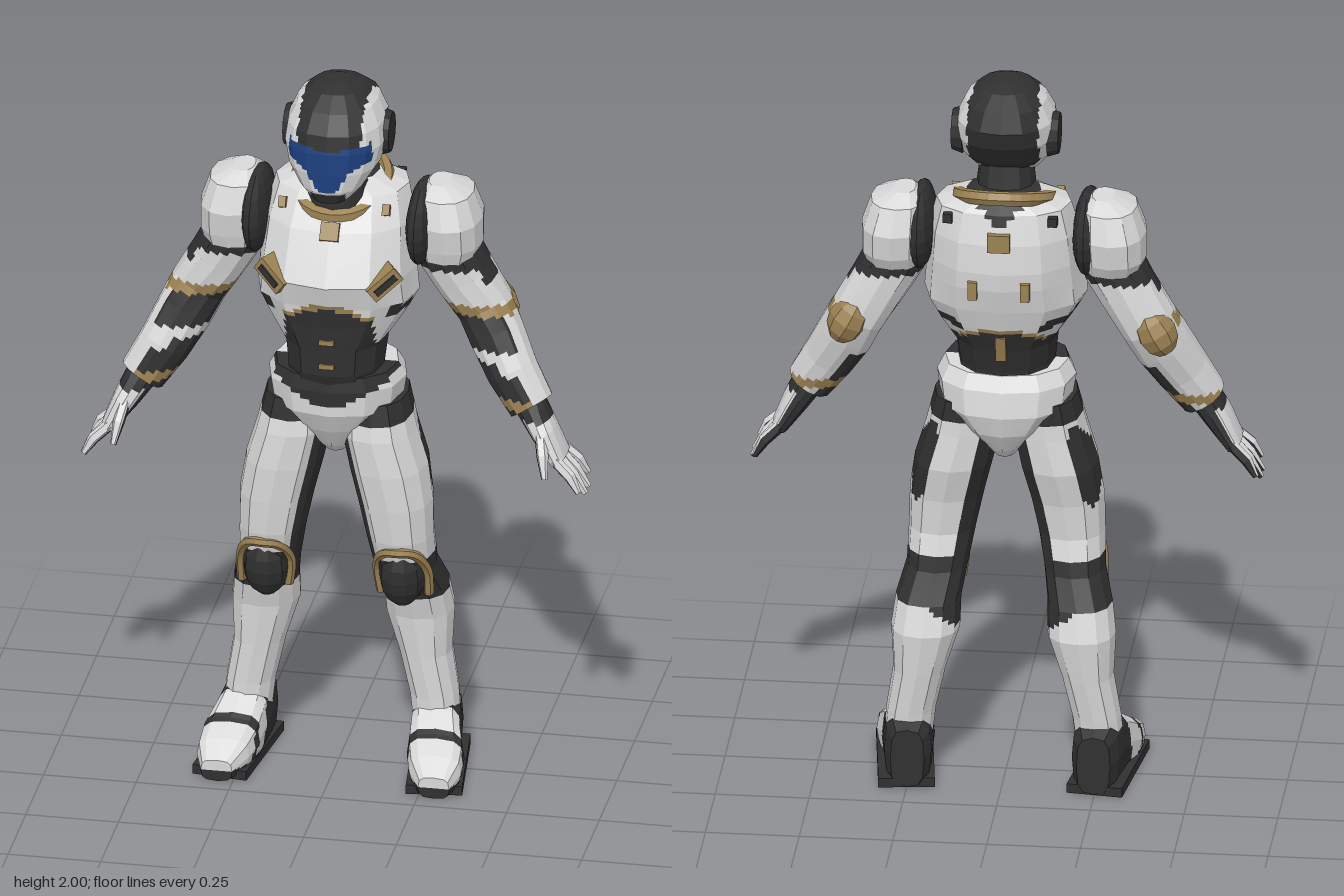
import * as THREE from 'three';

const material = (name, color) => Object.assign(new THREE.MeshStandardMaterial({ color }), { name });
const MATS = [
  material('white armour', 0xd9d9d9),
  material('dark undersuit', 0x303030),
  material('bronze trim', 0x9c8253),
  material('blue visor', 0x1d407e),
];
const [W, D, G, B] = [0, 1, 2, 3];
const V = (x, y, z) => new THREE.Vector3(x, y, z);
const DOWN = V(0, -1, 0);

// Faceted skin through rings [x, y, z, halfWidth, halfDepth]; paint(point, cos, sin) picks each colour.
function loft(name, rings, paint, { axis = null, sides = 12, sub = 4, p = 2.3, step = 0.014 } = {}) {
  const n = sides * sub;
  const tangents = rings.map((r, i) => axis || V(...rings[Math.min(i + 1, rings.length - 1)])
    .sub(V(...rings[Math.max(i - 1, 0)])).normalize());
  const power = (v) => Math.sign(v) * Math.abs(v) ** (2 / p);
  const loops = [], centres = [];
  const addLoop = (r, tangent) => {
    const t = tangent.clone().normalize();
    const u = V(1, 0, 0).addScaledVector(t, -t.x).normalize();
    const v = t.clone().cross(u);
    const c = V(r[0], r[1], r[2]);
    const corner = (j) => {
      const a = (2 * Math.PI * j) / sides;
      return c.clone().addScaledVector(u, r[3] * power(Math.cos(a))).addScaledVector(v, r[4] * power(Math.sin(a)));
    };
    loops.push(Array.from({ length: n }, (_, j) =>
      corner(Math.floor(j / sub)).lerp(corner(Math.floor(j / sub) + 1), (j % sub) / sub)));
    centres.push(c);
  };
  for (let i = 0; i < rings.length - 1; i++) {
    const a = rings[i], b = rings[i + 1];
    const m = Math.max(1, Math.round(V(...a).distanceTo(V(...b)) / step));
    for (let k = 0; k < m; k++)
      addLoop(a.map((q, e) => q + (b[e] - q) * k / m), tangents[i].clone().lerp(tangents[i + 1], k / m));
  }
  addLoop(rings.at(-1), tangents.at(-1));

  const buckets = MATS.map(() => []);
  const face = (pts, j) => {
    const mid = pts.reduce((s, q) => s.add(q), V(0, 0, 0)).divideScalar(pts.length);
    const a = (2 * Math.PI * (j + 0.5)) / n;
    const out = buckets[paint(mid, Math.cos(a), Math.sin(a))];
    for (let k = 1; k < pts.length - 1; k++) out.push(...pts[0], ...pts[k], ...pts[k + 1]);
  };
  const last = loops.length - 1;
  for (let j = 0; j < n; j++) {
    const j2 = (j + 1) % n;
    for (let i = 0; i < last; i++) face([loops[i][j], loops[i][j2], loops[i + 1][j2], loops[i + 1][j]], j);
    face([centres[0], loops[0][j2], loops[0][j]], j);
    face([centres[last], loops[last][j], loops[last][j2]], j);
  }
  const geo = new THREE.BufferGeometry();
  geo.setAttribute('position', new THREE.Float32BufferAttribute(buckets.flat(), 3));
  let start = 0;
  buckets.forEach((b, i) => { if (b.length) geo.addGroup(start, b.length / 3, i); start += b.length / 3; });
  geo.computeVertexNormals();
  const mesh = new THREE.Mesh(geo, MATS);
  mesh.name = name;
  return mesh;
}

// Upright body section described by [y, halfWidth, front z, back z].
const trunk = (name, rows, paint, options) => loft(name,
  rows.map(([y, w, f, b]) => [0, y, (f + b) / 2, w, (f - b) / 2]), paint, { axis: DOWN, ...options });

// Single-colour part with its placement baked in and faceted normals.
function part(name, geometry, mat, pos = [0, 0, 0], rot = [0, 0, 0], scale = [1, 1, 1]) {
  const geo = geometry.toNonIndexed();
  geo.clearGroups();
  geo.applyMatrix4(new THREE.Matrix4().compose(V(...pos),
    new THREE.Quaternion().setFromEuler(new THREE.Euler(...rot)), V(...scale)));
  geo.computeVertexNormals();
  const mesh = new THREE.Mesh(geo, MATS[mat]);
  mesh.name = name;
  return mesh;
}
const box = (name, size, mat, pos, rot) => part(name, new THREE.BoxGeometry(...size), mat, pos, rot);
const tube = (name, pts, r, mat, closed = false) => part(name,
  new THREE.TubeGeometry(new THREE.CatmullRomCurve3(pts.map((q) => V(...q)), closed), 32, r, 6, closed), mat);

// Mirror a baked group across x, keeping faces outward.
function mirrored(group, name) {
  const copy = group.clone();
  copy.name = name;
  copy.traverse((o) => {
    if (!o.isMesh) return;
    o.geometry = o.geometry.clone().scale(-1, 1, 1);
    const a = o.geometry.attributes.position;
    for (let i = 0; i < a.count; i += 3) {
      const b = V().fromBufferAttribute(a, i + 1), c = V().fromBufferAttribute(a, i + 2);
      a.setXYZ(i + 1, c.x, c.y, c.z);
      a.setXYZ(i + 2, b.x, b.y, b.z);
    }
    o.geometry.computeVertexNormals();
  });
  return copy;
}
function group(name, ...items) {
  const g = new THREE.Group();
  g.name = name;
  if (items.length) g.add(...items);
  return g;
}

function makeHead() {
  const paint = (q) => {
    const x = Math.abs(q.x);
    const low = x < 0.022 ? 1.74 : x < 0.06 ? 1.74 + (x - 0.022) * 1.6 : 1.80 + (x - 0.06) * 0.4;
    if (q.z > 0.085 && x < 0.112 && q.y > low && q.y < 1.858 + x * 0.12) return B;
    if (q.y > 1.86 && x < 0.086) return D;
    if (q.z < -0.03 && x < 0.095) return D;
    if (q.y < 1.735 && (x < 0.045 || q.z < 0.06)) return D;
    return W;
  };
  const shell = trunk('helmet', [[2.0, 0.03, 0.05, -0.03], [1.985, 0.07, 0.09, -0.075], [1.95, 0.108, 0.135, -0.125],
    [1.9, 0.131, 0.17, -0.145], [1.85, 0.137, 0.18, -0.13], [1.79, 0.122, 0.182, -0.085],
    [1.74, 0.088, 0.18, -0.025], [1.703, 0.05, 0.165, 0.03]], paint, { sides: 16, sub: 5, step: 0.009 });
  const ears = [1, -1].map((s) => part('earCover', new THREE.CylinderGeometry(0.055, 0.065, 0.03, 12), D,
    [s * 0.128, 1.85, 0], [0, 0, -s * Math.PI / 2]));
  return group('head', shell, ...ears);
}

function makeTorso() {
  const paint = (q) => {
    const x = Math.abs(q.x), front = q.z > 0;
    const low = x < 0.12 ? (front ? 1.41 : 1.345) - 2.8 * x * x : 1.285 + (front ? 0 : 0.02);
    if (q.y < low - 0.014) return D;
    if (q.y < low) return x < 0.12 ? G : D;
    if (x > 0.1 && q.z < 0.12 && Math.abs(q.y - (1.365 + 0.15 * q.z)) < 0.014) return D; // rib groove
    if (!front && x < 0.07 - (1.71 - q.y) && q.y > 1.63) return D; // nape
    return W;
  };
  const body = trunk('chestAndWaist', [[1.71, 0.1, 0.03, -0.15], [1.68, 0.18, 0.065, -0.18], [1.6, 0.2, 0.135, -0.203],
    [1.52, 0.207, 0.18, -0.21], [1.47, 0.212, 0.207, -0.205], [1.4, 0.218, 0.185, -0.185], [1.34, 0.185, 0.178, -0.165],
    [1.27, 0.138, 0.178, -0.14], [1.2, 0.13, 0.178, -0.12], [1.12, 0.13, 0.15, -0.11]], paint, { sub: 5, step: 0.011 });
  const g = group('torso', body);

  // Neck and tilted collar
  g.add(trunk('neck', [[1.78, 0.07, 0.09, -0.06], [1.62, 0.09, 0.1, -0.1]], () => D));
  g.add(tube('collar', Array.from({ length: 12 }, (_, i) => {
    const a = (i / 12) * 2 * Math.PI;
    return [0.122 * Math.sin(a), 1.68 - 0.045 * Math.cos(a), -0.035 + 0.13 * Math.cos(a)];
  }), 0.02, G, true));
  g.add(box('throatClasp', [0.05, 0.05, 0.03], G, [0, 1.6, 0.125], [-0.6, 0, 0]));

  // Chest vents and small studs
  for (const s of [1, -1]) {
    const rot = [0, s * 0.5, s * 0.65];
    g.add(box('ventFrame', [0.095, 0.045, 0.05], G, [s * 0.145, 1.48, 0.15], rot));
    g.add(box('ventSlot', [0.07, 0.018, 0.055], D, [s * 0.147, 1.48, 0.152], rot));
    g.add(box('chestStud', [0.02, 0.03, 0.02], G, [s * 0.14, 1.65, 0.065], [-0.5, 0, 0]));
    g.add(box('backStud', [0.025, 0.05, 0.02], G, [s * 0.07, 1.47, -0.196]));
    g.add(box('shoulderBladeStud', [0.025, 0.025, 0.02], D, [s * 0.14, 1.66, -0.155]));
  }
  for (const y of [1.3, 1.23]) g.add(box('bellySlot', [0.04, 0.014, 0.01], G, [0, y, 0.177]));
  g.add(box('backPlate', [0.06, 0.05, 0.02], G, [0, 1.61, -0.198]));
  g.add(box('spineTrim', [0.028, 0.08, 0.012], G, [0, 1.28, -0.142], [-0.3, 0, 0]));

  // Pelvis with a V-shaped waistline
  g.add(trunk('pelvis', [[1.19, 0.165, 0.165, -0.12], [1.15, 0.186, 0.172, -0.145], [1.08, 0.175, 0.17, -0.157],
    [1.02, 0.115, 0.14, -0.14], [0.96, 0.05, 0.1, -0.1], [0.93, 0.03, 0.06, -0.06]],
  (q) => (q.z > 0.02 && q.y > 1.095 + 0.5 * Math.abs(q.x) ? D : W)));
  return g;
}

function makeArm() {
  const paint = (q, c, s) => {
    if (q.y > 1.47) return D;
    if (q.y > 1.43 && s > -0.2 && c > -0.3 && q.z < 0.01) return D;
    if (q.y < 1.125 && q.y > 1.098) return G;
    if (q.y < 1.37 && q.y > 1.34 && s > -0.3) return G;
    if (q.y < 1.34 && q.y > 1.25 && s > 0.1 && c < 0.6) return D; // elbow crook
    if (q.y < 1.22 && (c < -0.3 || (s > 0.75 && q.y < 1.19 && c < 0.3))) return D;
    return W;
  };
  const g = group('leftArm', loft('armPlates', [[0.25, 1.6, -0.04, 0.08, 0.09], [0.29, 1.5, -0.045, 0.083, 0.095],
    [0.33, 1.43, -0.05, 0.08, 0.09], [0.385, 1.34, -0.055, 0.077, 0.085], [0.42, 1.27, -0.03, 0.077, 0.08],
    [0.47, 1.18, 0.005, 0.071, 0.073], [0.525, 1.095, 0.025, 0.063, 0.062]], paint));
  g.add(loft('shoulderPlate', [[0.265, 1.7, -0.05, 0.03, 0.05], [0.28, 1.672, -0.05, 0.075, 0.1],
    [0.29, 1.6, -0.05, 0.09, 0.127], [0.292, 1.53, -0.05, 0.088, 0.115], [0.29, 1.495, -0.045, 0.078, 0.1]],
  () => W, { axis: DOWN }));
  g.add(part('shoulderStrap', new THREE.SphereGeometry(1, 12, 10), D, [0.222, 1.585, -0.03], [0, 0, 0], [0.04, 0.115, 0.145]));
  g.add(part('elbowPad', new THREE.SphereGeometry(1, 8, 6), G, [0.41, 1.33, -0.1], [0, 0, 0.5], [0.055, 0.07, 0.065]));

  // Hand: pale on the outside, dark on the palm
  const skin = (q, c, s) => (0.7 * c + 0.5 * s < -0.15 ? D : W);
  g.add(loft('hand', [[0.52, 1.105, 0.028, 0.045, 0.045], [0.565, 1.03, 0.042, 0.036, 0.065],
    [0.605, 0.96, 0.043, 0.024, 0.07]], (q, c, s) => (q.y > 1.07 ? D : skin(q, c, s))));
  const finger = (name, a, b, c) => loft(name, [[...a, 0.016, 0.017], [...b, 0.016, 0.017], [...c, 0.008, 0.009]],
    skin, { sides: 6, sub: 2, step: 0.03 });
  for (let i = 0; i < 4; i++) {
    const z = -0.008 + 0.034 * i, spread = (i - 1.5) * 0.012, reach = i === 0 || i === 3 ? 0.02 : 0;
    g.add(finger('finger', [0.6, 0.97, z], [0.643, 0.92 + reach / 2, z + spread / 2], [0.678 - reach / 2, 0.868 + reach, z + spread]));
  }
  g.add(finger('thumb', [0.56, 1.04, 0.085], [0.572, 0.99, 0.12], [0.582, 0.935, 0.145]));
  return g;
}

function makeLeg() {
  const paint = (q, c, s) => {
    if (q.y > 0.64) {
      if (q.y > 1.04 || c < -0.55 - 0.25 * Math.max(0, s)) return D; // inner thigh
      const dx = (c - 0.75) / 0.3, dy = (q.y - 0.91) / 0.12;
      return s < 0 && dx * dx + dy * dy < 1 ? D : W; // outer hip panel
    }
    return q.y > (s > 0 ? 0.5 : 0.52 - 0.07 * Math.max(0, -c)) ? D : W;
  };
  const g = group('leftLeg', loft('legPlates', [[0.105, 1.1, 0.01, 0.085, 0.12], [0.115, 1.0, 0.02, 0.1, 0.13],
    [0.14, 0.9, 0.02, 0.105, 0.132], [0.16, 0.8, 0.03, 0.1, 0.115], [0.172, 0.7, 0.03, 0.09, 0.105],
    [0.183, 0.6, 0.005, 0.082, 0.105], [0.202, 0.52, -0.045, 0.087, 0.1], [0.208, 0.44, -0.068, 0.092, 0.1],
    [0.224, 0.32, -0.065, 0.07, 0.088], [0.247, 0.2, -0.06, 0.066, 0.076], [0.255, 0.12, -0.055, 0.065, 0.07]],
  paint, { axis: DOWN }));

  // Knee pad with its arched rim
  g.add(part('kneePad', new THREE.SphereGeometry(1, 10, 8), D, [0.183, 0.59, 0.07], [0.15, 0, 0], [0.062, 0.095, 0.06]));
  g.add(tube('kneeRim', [[0.125, 0.53, 0.055], [0.118, 0.61, 0.07], [0.143, 0.668, 0.115], [0.183, 0.678, 0.13],
    [0.222, 0.67, 0.115], [0.25, 0.61, 0.07], [0.252, 0.53, 0.05]], 0.014, G));

  // Boot, lofted from heel to toe
  g.add(loft('boot', [[0.248, 0.085, -0.157, 0.045, 0.082], [0.25, 0.095, -0.12, 0.063, 0.095],
    [0.255, 0.098, -0.06, 0.068, 0.098], [0.262, 0.088, 0.01, 0.07, 0.088], [0.276, 0.066, 0.08, 0.078, 0.066],
    [0.286, 0.05, 0.145, 0.07, 0.05], [0.293, 0.03, 0.2, 0.042, 0.03]], (q) => {
    if (q.y < 0.03 || q.z < 0.035 - 0.25 * q.y) return D;
    return Math.abs(q.z - 0.115 + 0.3 * q.y) < 0.012 ? D : W;
  }, { axis: V(0, 0, 1), p: 3.2 }));
  g.add(box('sole', [0.15, 0.026, 0.33], D, [0.27, 0.013, 0.012], [0, 0.12, 0]));
  return g;
}

export function createModel() {
  const arm = makeArm(), leg = makeLeg();
  return group('armouredFigure', makeHead(), makeTorso(), arm, mirrored(arm, 'rightArm'), leg, mirrored(leg, 'rightLeg'));
}
